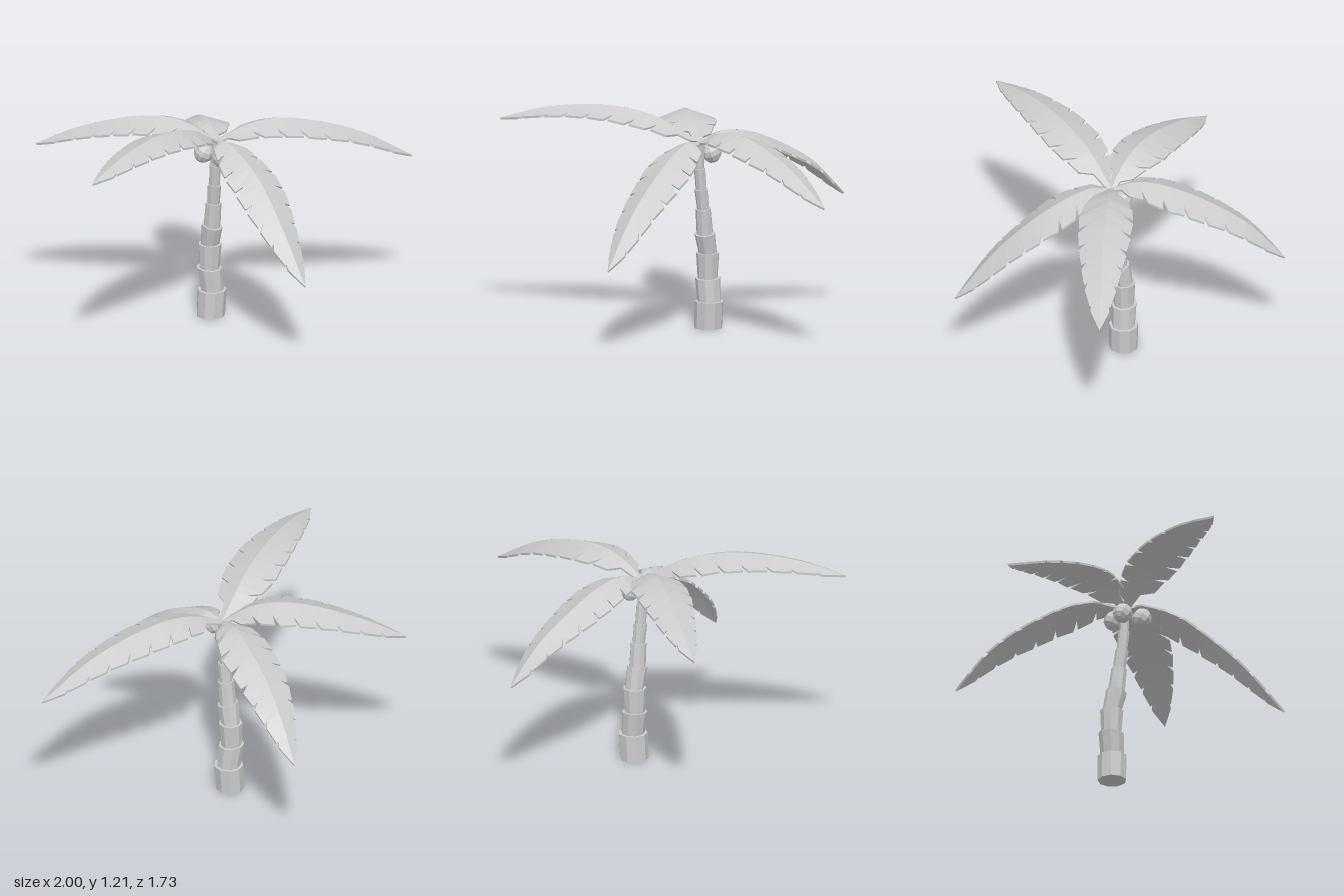
import * as THREE from 'three';

const material = new THREE.MeshStandardMaterial({ color: 0xcccccc, flatShading: true });
const leafMaterial = new THREE.MeshStandardMaterial({ color: 0xcccccc, flatShading: true, side: THREE.DoubleSide });
const lerp = THREE.MathUtils.lerp;

// Trunk joints: x, y, z, radius at the flared top of a section, slope towards -z
const joints = [
  [0.15, 0, -0.02, 0.078, 0],
  [0.157, 0.148, -0.015, 0.08, 0],
  [0.146, 0.275, -0.026, 0.07, 0.08],
  [0.147, 0.412, -0.022, 0.064, 0.02],
  [0.136, 0.525, 0, 0.057, 0.25],
  [0.131, 0.66, 0.014, 0.043, 0.1],
  [0.122, 0.77, 0.026, 0.037, 0.1],
  [0.115, 0.885, 0.036, 0.031, 0.1],
  [0.117, 1.03, 0.04, 0.028, 0],
];

// One trunk section: a cylinder sheared between two joints, wider at its top
function trunkSection(a, b, first) {
  const geo = new THREE.CylinderGeometry(b[3], first ? a[3] : a[3] * 0.8, 1, 9);
  const p = geo.attributes.position;
  for (let i = 0; i < p.count; i++) {
    const t = p.getY(i) + 0.5;
    const x = p.getX(i), z = p.getZ(i);
    const y = lerp(a[1], b[1], t) - z * lerp(a[4], b[4], t);
    p.setXYZ(i, x + lerp(a[0], b[0], t), y, z + lerp(a[2], b[2], t));
  }
  geo.computeVertexNormals();
  return new THREE.Mesh(geo, material);
}

// Half-width of a frond along its length
const widths = [[0, 0.02], [0.12, 0.1], [0.3, 0.15], [0.5, 0.142], [0.75, 0.095], [0.9, 0.05], [1, 0]];
function halfWidth(u) {
  let i = 1;
  while (i < widths.length - 1 && u > widths[i][0]) i++;
  const [u0, w0] = widths[i - 1], [u1, w1] = widths[i];
  return lerp(w0, w1, (u - u0) / (u1 - u0));
}

// A folded leaf along a spine curve, with leaflets cut into both edges
function frondGeometry(points) {
  const curve = new THREE.CatmullRomCurve3(points.map((p) => new THREE.Vector3(...p)));
  const up = new THREE.Vector3(0, 1, 0);
  const thickness = 0.012;
  const verts = [];

  const at = (u, k, width) => {
    u = Math.min(u, 1);
    const tangent = curve.getTangentAt(u);
    const side = tangent.clone().cross(up).normalize();
    const normal = side.clone().cross(tangent);
    const top = curve.getPointAt(u).addScaledVector(side, k * width).addScaledVector(normal, -0.36 * width);
    return [top, top.clone().addScaledVector(normal, -thickness)];
  };
  const quad = (a, b, c, d, k) => {
    const order = k > 0 ? [a, b, c, a, c, d] : [a, c, b, a, d, c];
    for (const v of order) verts.push(v.x, v.y, v.z);
  };

  for (const k of [1, -1]) {
    // Stations: position on the rib, position on the edge, share of the width
    const stations = [[0, 0, 1]];
    const count = 8;
    const start = k > 0 ? 0.05 : 0.1;
    const step = (0.97 - start) / count;
    for (let i = 0; i < count; i++) {
      const s = start + i * step;
      stations.push([s, s, lerp(0.5, 0.8, i / count)]);
      stations.push([s + 0.3 * step, s + 0.35 * step, 1]);
      stations.push([s + 0.8 * step, s + 1.12 * step, 0.97]);
    }
    stations.push([0.97, 0.97, 0.8], [1, 1, 0]);

    const rows = stations.map(([rib, edge, share]) => [at(rib, k, 0), at(edge, k, halfWidth(Math.min(edge, 1)) * share)]);
    for (let j = 0; j < rows.length - 1; j++) {
      const [r0, e0] = rows[j], [r1, e1] = rows[j + 1];
      quad(r0[0], e0[0], e1[0], r1[0], k); // upper face
      quad(r0[1], e0[1], e1[1], r1[1], -k); // lower face
      quad(e0[0], e0[1], e1[1], e1[0], k); // rim
    }
  }
  const geo = new THREE.BufferGeometry();
  geo.setAttribute('position', new THREE.Float32BufferAttribute(verts, 3));
  geo.computeVertexNormals();
  return geo;
}

// Spines of the five fronds, after the shared root
const root = [0.12, 1.03, 0.04];
const spines = [
  [[-0.1, 1.15, 0.035], [-0.3, 1.2, 0.035], [-0.48, 1.21, 0.035], [-0.75, 1.18, 0.035], [-1, 1.11, 0.035]],
  [[0.24, 1.1, 0.14], [0.38, 1.125, 0.245], [0.55, 1.09, 0.38], [0.76, 1.0, 0.54], [0.995, 0.83, 0.71]],
  [[0.22, 1.08, -0.08], [0.33, 1.055, -0.21], [0.45, 0.98, -0.36], [0.6, 0.85, -0.53], [0.735, 0.65, -0.68]],
  [[0.06, 1.11, -0.08], [0.005, 1.145, -0.2], [-0.08, 1.13, -0.39], [-0.2, 1.04, -0.67], [-0.295, 0.935, -0.865]],
  [[0.095, 1.05, 0.12], [0.06, 1.03, 0.21], [0, 0.94, 0.4], [-0.095, 0.74, 0.63], [-0.18, 0.455, 0.86]],
];

export function createModel() {
  const model = new THREE.Group();
  model.name = 'palmTree';

  const trunk = new THREE.Group();
  trunk.name = 'trunk';
  for (let i = 0; i < joints.length - 1; i++) {
    const section = trunkSection(joints[i], joints[i + 1], i === 0);
    section.name = 'trunkSection';
    trunk.add(section);
  }
  model.add(trunk);

  const fronds = new THREE.Group();
  fronds.name = 'fronds';
  for (const spine of spines) {
    const frond = new THREE.Mesh(frondGeometry([root, ...spine]), leafMaterial);
    frond.name = 'frond';
    fronds.add(frond);
  }
  model.add(fronds);

  // Coconuts clustered under the crown
  const nutGeometry = new THREE.SphereGeometry(0.055, 8, 6);
  for (const [x, y, z, turn] of [[0.175, 0.967, 0.002, 0.3], [0.065, 0.96, 0.117, 1.1], [0.06, 0.965, 0, 2]]) {
    const nut = new THREE.Mesh(nutGeometry, material);
    nut.name = 'coconut';
    nut.position.set(x, y, z);
    nut.rotation.set(0.3, turn, 0.2);
    model.add(nut);
  }
  return model;
}
